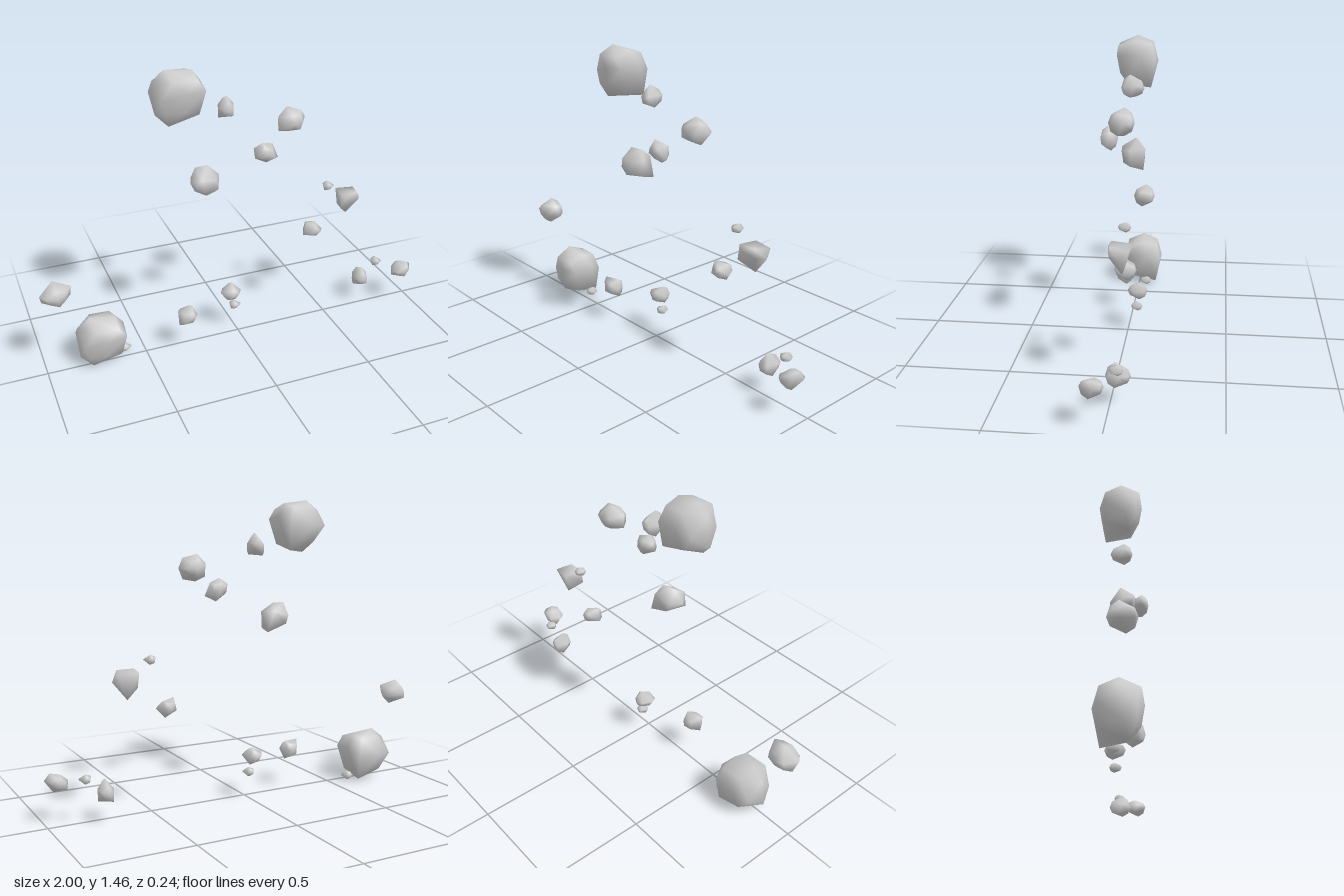
import * as THREE from 'three';
import { mergeVertices } from 'three/addons/utils/BufferGeometryUtils.js';
import { ConvexGeometry } from 'three/addons/geometries/ConvexGeometry.js';

const stone = new THREE.MeshStandardMaterial({ color: 0xcccccc });
stone.name = 'light grey stone';

// Smooth-shaded convex stone around a cloud of [x, y, z] points
function hull(points) {
  const g = new ConvexGeometry(points.map((p) => new THREE.Vector3(...p)));
  g.deleteAttribute('normal');
  const merged = mergeVertices(g, 1e-4);
  merged.computeVertexNormals();
  return merged;
}

// Stone from an [x, y] outline, bulging front and back by half its depth
function rockGeometry(outline, half) {
  const cx = outline.reduce((s, p) => s + p[0], 0) / outline.length;
  const cy = outline.reduce((s, p) => s + p[1], 0) / outline.length;
  const pts = [[cx, cy, half], [cx, cy, -half]];
  outline.forEach(([x, y], i) => {
    pts.push([x, y, (i % 2 ? -0.22 : 0.22) * half]);
    for (const side of [-1, 1]) {
      // alternate the inset so the facets stay irregular
      const inset = (i + (side > 0 ? 1 : 0)) % 2 ? 0.66 : 0.54;
      pts.push([cx + (x - cx) * inset, cy + (y - cy) * inset, side * half * 0.77]);
    }
  });
  return hull(pts);
}

export function createModel() {
  const model = new THREE.Group();
  model.name = 'floatingRocks';

  function place(name, geometry, x, y, z) {
    const mesh = new THREE.Mesh(geometry, stone);
    mesh.name = name;
    mesh.position.set(x, y, z);
    model.add(mesh);
  }
  const rock = (name, z, half, outline) => place(name, rockGeometry(outline, half), 0, 0, z);

  // Two large boulders, blocky with chopped corners
  const boulder = hull([
    [-0.06, 0.123, 0], [0.07, 0.107, 0], [-0.04, 0.095, -0.08], [0.06, 0.09, -0.08],
    [-0.05, 0.085, 0.088], [0.07, 0.08, 0.086], [0.01, 0.03, 0.1],
    [-0.118, 0.075, -0.01], [-0.118, -0.075, 0.02], [-0.115, 0, -0.085], [-0.1, 0, 0.07],
    [0.118, 0.043, -0.03], [0.107, 0.03, 0.08], [0.085, 0.01, -0.1], [-0.04, 0, -0.105],
    [0.08, -0.118, -0.078], [-0.05, -0.08, -0.08], [0.085, -0.09, 0.045],
    [-0.06, -0.132, 0.035], [0, -0.06, 0.085], [-0.08, -0.065, 0.07],
  ]);
  place('upperBoulder', boulder, -0.283, 1.337, -0.015);
  place('lowerBoulder', boulder, -0.716, 0.132, -0.015);

  // Pointed stones
  const pointed = rockGeometry(
    [[0, 0.055], [0.043, 0.007], [0.033, -0.05], [-0.033, -0.056], [-0.043, 0]], 0.056);
  place('upperPointedRock', pointed, -0.053, 1.25, -0.018);
  place('lowerPointedRock', pointed, 0.738, 0.148, -0.037);

  // Pebbles
  const pebble = rockGeometry(
    [[-0.031, 0.008], [0, 0.022], [0.031, 0], [0.003, -0.025], [-0.023, -0.021]], 0.029);
  [[0.513, 0.735, -0.04], [0, 0.135, -0.045], [0.834, 0.217, -0.04], [-0.598, 0.03, -0.04]]
    .forEach((p, i) => place('pebble' + (i + 1), pebble, ...p));

  // Angular medium stones
  place('centreRock', hull([
    [-0.24, 0.893, 0], [-0.21, 0.963, -0.02], [-0.144, 0.963, -0.03], [-0.096, 0.92, 0],
    [-0.096, 0.824, -0.066], [-0.1, 0.838, 0], [-0.176, 0.838, 0.042], [-0.23, 0.866, 0.03],
    [-0.2, 0.92, 0.05], [-0.125, 0.91, 0.045], [-0.13, 0.925, -0.073],
    [-0.22, 0.9, -0.055], [-0.2, 0.86, -0.065],
  ]), 0, 0, 0);
  place('rightRock', hull([
    [0.572, 0.69, 0.01], [0.583, 0.685, -0.085], [0.68, 0.68, -0.075], [0.658, 0.69, 0.008],
    [0.695, 0.642, -0.035], [0.67, 0.65, 0.01], [0.626, 0.556, -0.042], [0.567, 0.615, 0.015],
    [0.58, 0.61, -0.055], [0.59, 0.67, 0.023],
  ]), 0, 0, 0);

  // Rounded medium stones
  rock('topRightRock', 0, 0.06, [[0.2, 1.165], [0.257, 1.208], [0.32, 1.19], [0.353, 1.144],
    [0.32, 1.09], [0.267, 1.08], [0.203, 1.1]]);
  rock('topMiddleRock', 0.077, 0.042, [[0.09, 1.085], [0.15, 1.065], [0.17, 1], [0.118, 0.973],
    [0.053, 1.01], [0.053, 1.055]]);
  rock('innerRightRock', -0.035, 0.05, [[0.39, 0.545], [0.45, 0.535], [0.48, 0.497],
    [0.444, 0.455], [0.374, 0.48]]);
  rock('farLeftRock', 0, 0.062, [[-1, 0.45], [-0.93, 0.508], [-0.85, 0.48], [-0.85, 0.417],
    [-0.91, 0.374], [-0.99, 0.4]]);
  rock('lowLeftRock', 0.045, 0.047, [[-0.342, 0.235], [-0.262, 0.238], [-0.24, 0.193],
    [-0.257, 0.144], [-0.337, 0.15]]);
  rock('lowMiddleRock', -0.047, 0.05, [[-0.08, 0.225], [-0.01, 0.258], [0.032, 0.219],
    [0, 0.171], [-0.048, 0.176]]);
  rock('lowRightRock', 0.05, 0.052, [[0.882, 0.193], [0.925, 0.23], [0.968, 0.235],
    [1, 0.209], [0.952, 0.144], [0.893, 0.155]]);

  return model;
}
